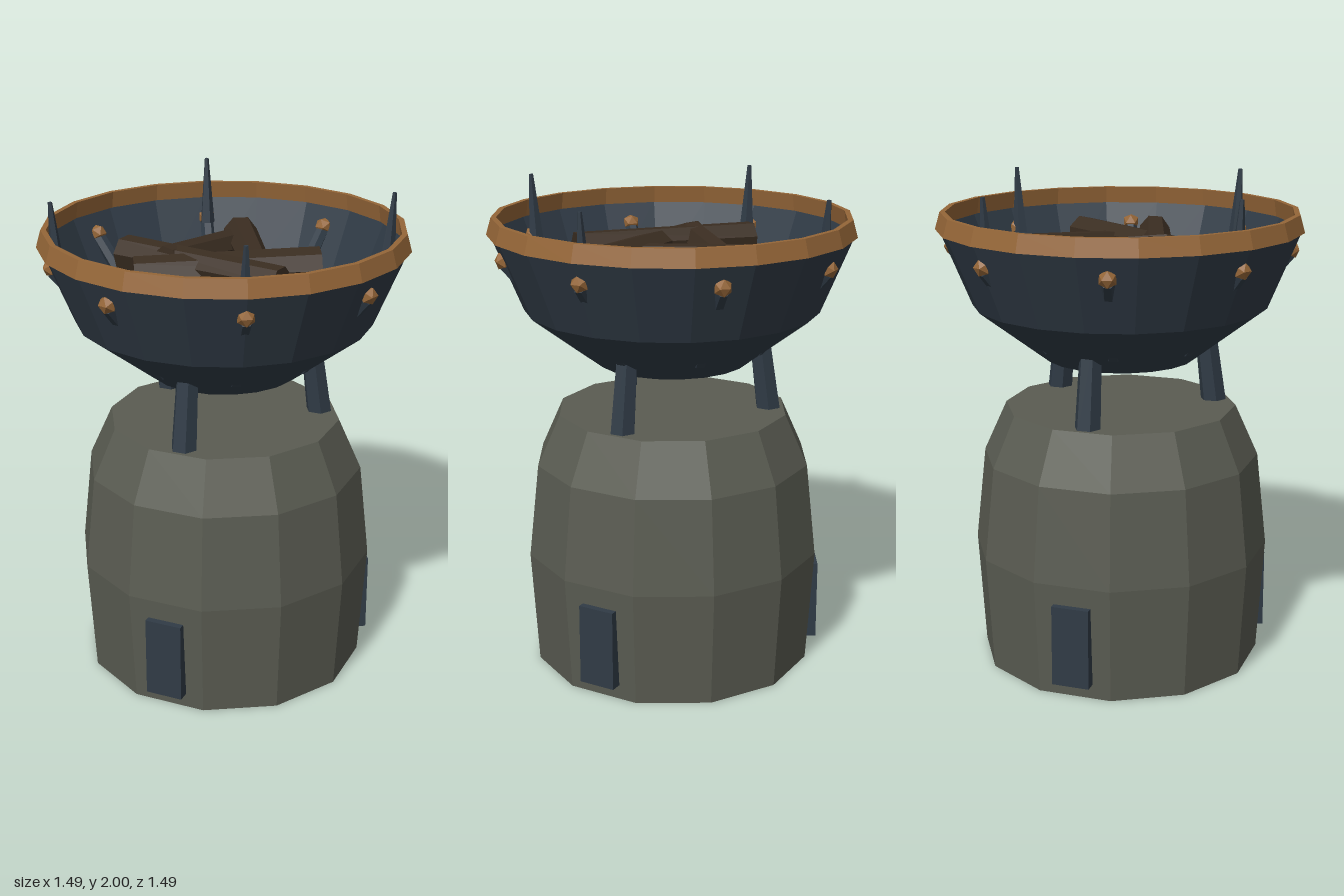
import * as THREE from 'three';

const flat = (name, color, extra = {}) => {
  const m = new THREE.MeshStandardMaterial({ color, flatShading: true, ...extra });
  m.name = name;
  return m;
};

export function createModel() {
  const model = new THREE.Group();
  model.name = 'brazier';
  const stone = flat('stone', 0x5a5c52);
  const iron = flat('iron', 0x303b46);
  const ironSheet = flat('ironSheet', 0x303b46, { side: THREE.DoubleSide });
  const bronze = flat('bronze', 0x956638);
  const wood = flat('charredWood', 0x3a2d21);
  const ember = flat('ember', 0xe2590f);

  const add = (name, geometry, material, parent = model) => {
    const mesh = new THREE.Mesh(geometry, material);
    mesh.name = name;
    parent.add(mesh);
    return mesh;
  };
  const lathe = (pts, sides, start = 0) =>
    new THREE.LatheGeometry(pts.map(p => new THREE.Vector2(...p)), sides, start);
  const V = (x, y, z) => new THREE.Vector3(x, y, z);
  // tapered bar from a (radius ra) to b (radius rb)
  const bar = (name, a, b, ra, rb, sides, material, parent = model) => {
    const dir = b.clone().sub(a);
    const mesh = add(name, new THREE.CylinderGeometry(rb, ra, dir.length(), sides), material, parent);
    mesh.position.copy(a).add(b).multiplyScalar(0.5);
    mesh.quaternion.setFromUnitVectors(V(0, 1, 0), dir.normalize());
    return mesh;
  };
  // group whose local +x points outward at the given angle
  const spoke = (name, angle) => {
    const g = new THREE.Group();
    g.name = name;
    g.rotation.y = angle;
    model.add(g);
    return g;
  };

  // Twelve-sided stone pedestal
  add('pedestal', lathe([[0, 0], [0.588, 0], [0.618, 0.48], [0.575, 0.87], [0.48, 1.08], [0, 1.08]],
    12, Math.PI / 12), stone);

  // Three iron plates on the pedestal and three legs holding the bowl
  for (let i = 0; i < 3; i++) {
    const g = spoke('support', i * Math.PI * 2 / 3);
    add('plate', new THREE.BoxGeometry(0.06, 0.335, 0.155), iron, g).position.set(0.59, 0.23, 0);
    bar('leg', V(0.405, 1.04, 0), V(0.355, 1.42, 0), 0.055, 0.045, 6, iron, g);
  }

  // Bowl with an open bottom, and its rim
  add('bowl', lathe([[0.31, 1.285], [0.605, 1.51], [0.735, 1.825]], 20), ironSheet);
  add('rim', lathe([[0.715, 1.82], [0.747, 1.82], [0.727, 1.89], [0.705, 1.89], [0.715, 1.82]], 20), bronze);

  // Eight inner ribs with studs; every second one carries a spike
  for (let i = 0; i < 8; i++) {
    const g = spoke('ribSet', i * Math.PI / 4);
    bar('rib', V(0.385, 1.375, 0), V(0.685, 1.72, 0), 0.034, 0.028, 6, iron, g);
    add('stud', new THREE.IcosahedronGeometry(0.038), bronze, g).position.set(0.69, 1.735, 0);
    if (i % 2 === 0) bar('spike', V(0.665, 1.72, 0), V(0.684, 2, 0), 0.032, 0.009, 5, iron, g);
  }

  // Glowing embers: x, y, z, radius
  [[-0.42, 1.59, 0.2, 0.125], [-0.24, 1.6, 0.35, 0.145], [0.15, 1.58, -0.29, 0.13],
    [-0.13, 1.55, -0.23, 0.125], [-0.03, 1.47, 0.01, 0.11], [0.2, 1.55, 0.22, 0.1],
    [-0.3, 1.45, 0.08, 0.11]].forEach(([x, y, z, r], i) => {
    const m = add('ember', new THREE.DodecahedronGeometry(r), ember);
    m.position.set(x, y, z);
    m.rotation.set(i * 1.3, i * 0.9, i * 0.5);
  });

  // Charred lumps
  [[-0.03, 1.6, -0.38, 0.125], [-0.29, 1.6, -0.25, 0.125], [-0.34, 1.6, 0.1, 0.08]].forEach(([x, y, z, r], i) => {
    const m = add('charredLump', new THREE.DodecahedronGeometry(r), wood);
    m.position.set(x, y, z);
    m.rotation.set(0.4 + i, 0.7 * i, 0.3);
  });

  // Crossed logs
  bar('log', V(-0.37, 1.73, 0.1), V(0.37, 1.74, 0.105), 0.068, 0.076, 7, wood);
  bar('log', V(-0.39, 1.74, -0.16), V(0.18, 1.75, 0.35), 0.075, 0.065, 7, wood);
  bar('log', V(0.11, 1.75, -0.38), V(0.13, 1.71, 0.26), 0.072, 0.06, 7, wood);
  bar('log', V(0.13, 1.71, -0.36), V(-0.24, 1.76, 0.04), 0.07, 0.06, 7, wood);

  return model;
}
